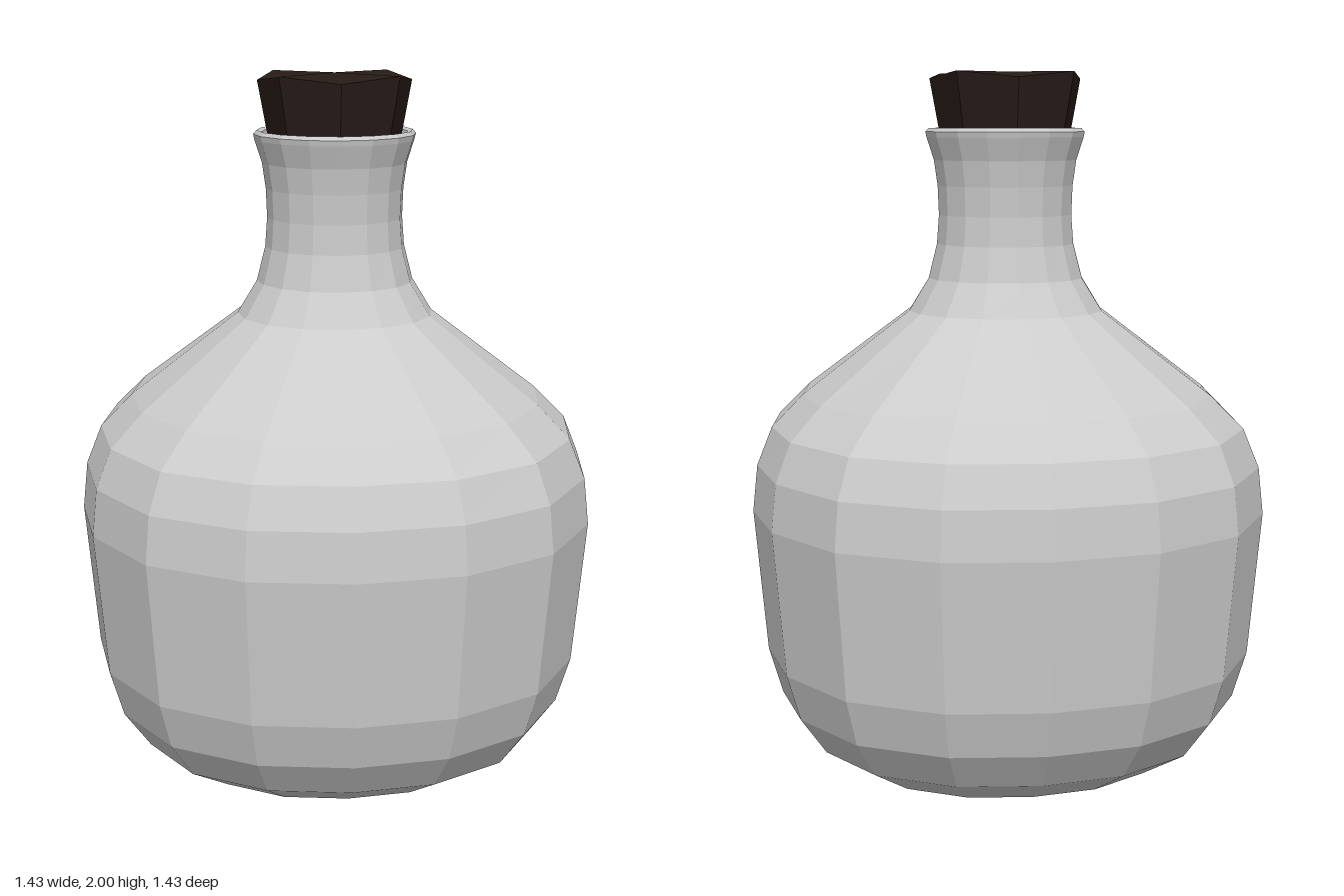
import * as THREE from 'three';

// One point on a slightly squared ring: "square" pushes the diagonals outward
function ringPoint(angle, radius, y, square = 0, drop = 0) {
  const diagonal = Math.sin(2 * angle) ** 2;
  const r = radius * (1 + square * diagonal);
  return [r * Math.sin(angle), y - drop * (1 - diagonal), r * Math.cos(angle)];
}

function pushQuad(out, a, b, c, d) {
  out.push(...a, ...b, ...c, ...a, ...c, ...d);
}

// Joins rings given as [radius, y, squareness, drop on the axes], from bottom to top
function pushRings(out, rings, sides) {
  const at = (ring, i) => ringPoint((i % sides) / sides * Math.PI * 2, ...ring);
  for (let k = 0; k < rings.length - 1; k++) {
    for (let i = 0; i < sides; i++) {
      pushQuad(out, at(rings[k], i), at(rings[k], i + 1), at(rings[k + 1], i + 1), at(rings[k + 1], i));
    }
  }
}

function makeMesh(name, positions, color) {
  const geometry = new THREE.BufferGeometry();
  geometry.setAttribute('position', new THREE.Float32BufferAttribute(positions, 3));
  geometry.computeVertexNormals();
  const material = new THREE.MeshStandardMaterial({ color, flatShading: true });
  const mesh = new THREE.Mesh(geometry, material);
  mesh.name = name;
  return mesh;
}

// Rounded underside: a 4 x 4 grid of quads bent onto concentric rings
function pushBase(out) {
  const levels = [[0, 0.005, 0], [0.254, 0.02, 0.3], [0.444, 0.07, 0.046]];
  const at = (u, v) => {
    const level = Math.max(Math.abs(u), Math.abs(v));
    let angle = 0;
    if (level > 0) {
      angle = Math.abs(v) >= Math.abs(u)
        ? (u / v) * Math.PI / 4 + (v < 0 ? Math.PI : 0)
        : Math.PI / 2 - (v / u) * Math.PI / 4 + (u < 0 ? Math.PI : 0);
    }
    return ringPoint(angle, ...levels[level]);
  };
  for (let u = -2; u < 2; u++) {
    for (let v = -2; v < 2; v++) {
      pushQuad(out, at(u, v), at(u + 1, v), at(u + 1, v + 1), at(u, v + 1));
    }
  }
}

export function createModel() {
  const group = new THREE.Group();
  group.name = 'corkedBottle';

  // Bottle: base, belly, shoulder, neck, lip and inside of the neck
  const bottle = [];
  pushBase(bottle);
  pushRings(bottle, [
    [0.444, 0.07, 0.046],
    [0.571, 0.15, 0.046],
    [0.645, 0.257, 0.046],
    [0.683, 0.387, 0.046],
    [0.717, 0.79, 0.046],
    [0.703, 0.92, 0.046],
    [0.66, 1.027, 0.045],
    [0.572, 1.116, 0.04],
    [0.36, 1.278, 0.03],
    [0.272, 1.345, 0.02],
    [0.217, 1.435, 0.01],
    [0.193, 1.53],
    [0.187, 1.61],
    [0.19, 1.69],
    [0.2, 1.76],
    [0.22, 1.822],
    [0.223, 1.837],
    [0.214, 1.847],
    [0.2, 1.842],
    [0.18, 1.76],
    [0.168, 1.65],
  ], 16);
  group.add(makeMesh('bottle', bottle, 0xcccccc));

  // Stopper: tapered eight-sided plug with a slightly raised top
  const stopper = [];
  pushRings(stopper, [
    [0, 1.68],
    [0.155, 1.68, 0.05],
    [0.186, 1.845, 0.05],
    [0.211, 1.998, 0.07, 0.017],
    [0, 2],
  ], 8);
  group.add(makeMesh('stopper', stopper, 0x281b17));

  return group;
}
